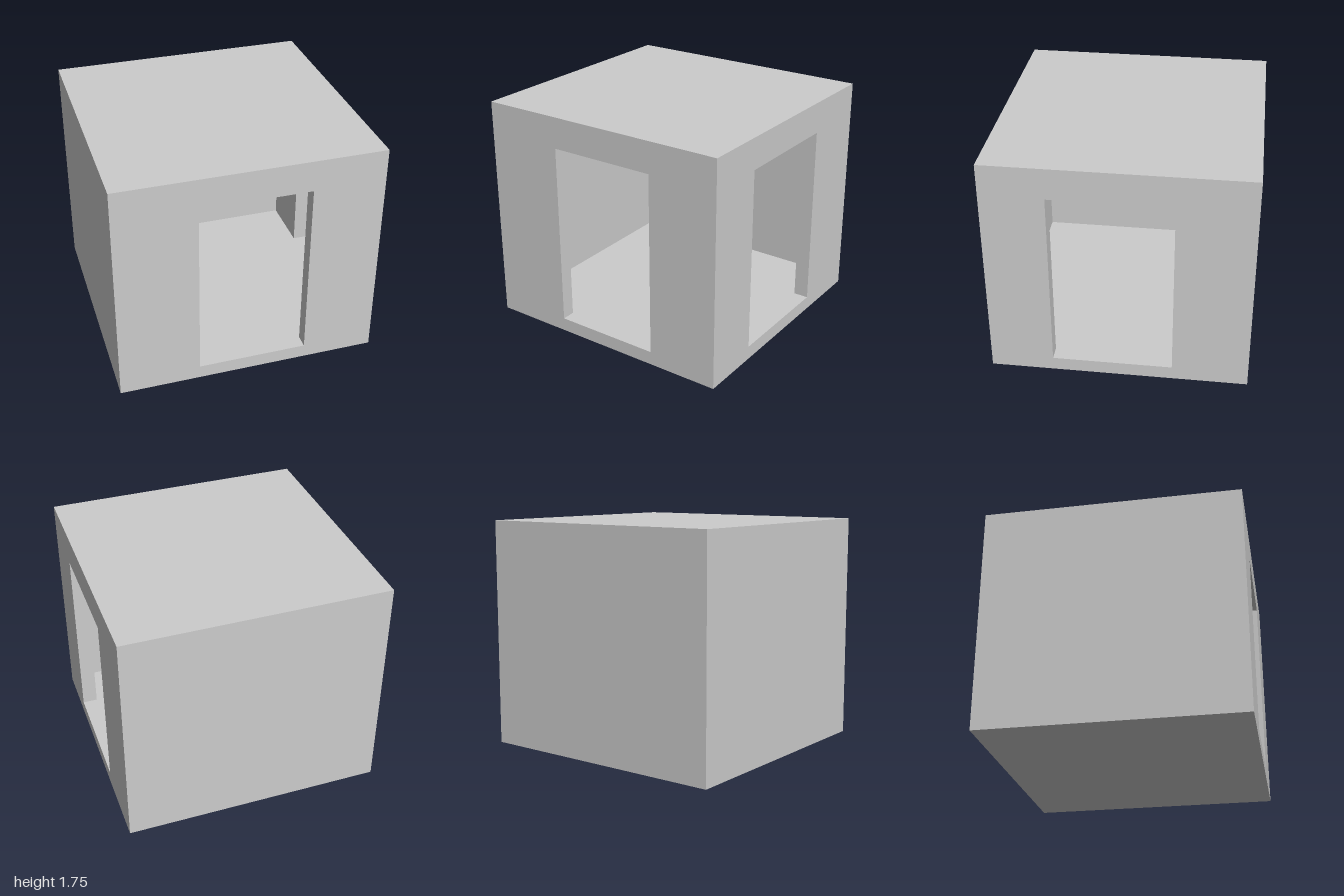
import * as THREE from 'three';

const X = 1, Z = 0.975, H = 1.755;                       // outer half width, half depth, height
const IN = { left: -0.88, right: 0.885, front: 0.87, back: -0.88, floor: 0.105, ceiling: 1.655 };

const rect = (u0, v0, u1, v1) => [[u0, v0], [u1, v0], [u1, v1], [u0, v1]];
const toVectors = (points) => points.map(([u, v]) => new THREE.Vector2(u, v));

// Flat outline, optionally turned to face inward at a given depth
function skin(points, hole, depth = 0, inward = false) {
  const shape = new THREE.Shape(toVectors(points));
  if (hole) shape.holes.push(new THREE.Path(toVectors(hole)));
  const geometry = new THREE.ShapeGeometry(shape);
  if (inward) {
    geometry.index.array.reverse();
    geometry.attributes.normal.array.forEach((n, i, a) => { a[i] = -n; });
  }
  return geometry.translate(0, 0, -depth);
}

// Band of faces through the wall thickness around an opening
function reveal(loop, depth) {
  const points = [];
  loop.forEach(([u0, v0], i) => {
    const [u1, v1] = loop[(i + 1) % loop.length];
    const a = new THREE.Vector3(u0, v0, 0), b = new THREE.Vector3(u1, v1, 0);
    const c = new THREE.Vector3(u1, v1, -depth), d = new THREE.Vector3(u0, v0, -depth);
    points.push(a, b, c, a, c, d);
  });
  const geometry = new THREE.BufferGeometry().setFromPoints(points);
  geometry.computeVertexNormals();
  return geometry;
}

export function createModel() {
  const model = new THREE.Group();
  model.name = 'room';
  const material = new THREE.MeshStandardMaterial({ color: 0xcccccc });

  // One side of the room: outer skin, inner skin and an optional doorway [u0, u1]
  function side(name, outer, inner, thickness, position, rotation, door) {
    const group = new THREE.Group();
    group.name = name;
    const add = (part, geometry) => {
      const mesh = new THREE.Mesh(geometry, material);
      mesh.name = part;
      group.add(mesh);
    };
    let innerPoints = rect(...inner), opening = null;
    if (door) {
      const [d0, d1] = door, [u0, v0, u1, v1] = inner, top = 1.515;
      opening = rect(d0, v0, d1, top);
      innerPoints = [[u0, v0], [d0, v0], [d0, top], [d1, top], [d1, v0], [u1, v0], [u1, v1], [u0, v1]];
      add('doorReveal', reveal(opening, thickness));
    }
    add('outerFace', skin(rect(...outer), opening));
    add('innerFace', skin(innerPoints, null, thickness, true));
    group.position.set(...position);
    group.rotation.set(...rotation);
    model.add(group);
  }

  const { left, right, front, back, floor, ceiling } = IN;
  const q = Math.PI / 2;

  // Walls
  side('frontWall', [-X, 0, X, H], [left, floor, right, ceiling], Z - front, [0, 0, Z], [0, 0, 0], [-0.385, 0.45]);
  side('doorSideWall', [-Z, 0, Z, H], [-front, floor, -back, ceiling], X - right, [X, 0, 0], [0, q, 0], [-0.5, 0.405]);
  side('backWall', [-X, 0, X, H], [-right, floor, -left, ceiling], Z + back, [0, 0, -Z], [0, 2 * q, 0]);
  side('blankSideWall', [-Z, 0, Z, H], [back, floor, front, ceiling], X + left, [-X, 0, 0], [0, -q, 0]);

  // Floor and roof slabs
  side('floor', [-X, -Z, X, Z], [left, back, right, front], floor, [0, 0, 0], [q, 0, 0]);
  side('roof', [-X, -Z, X, Z], [left, -front, right, -back], H - ceiling, [0, H, 0], [-q, 0, 0]);

  return model;
}
